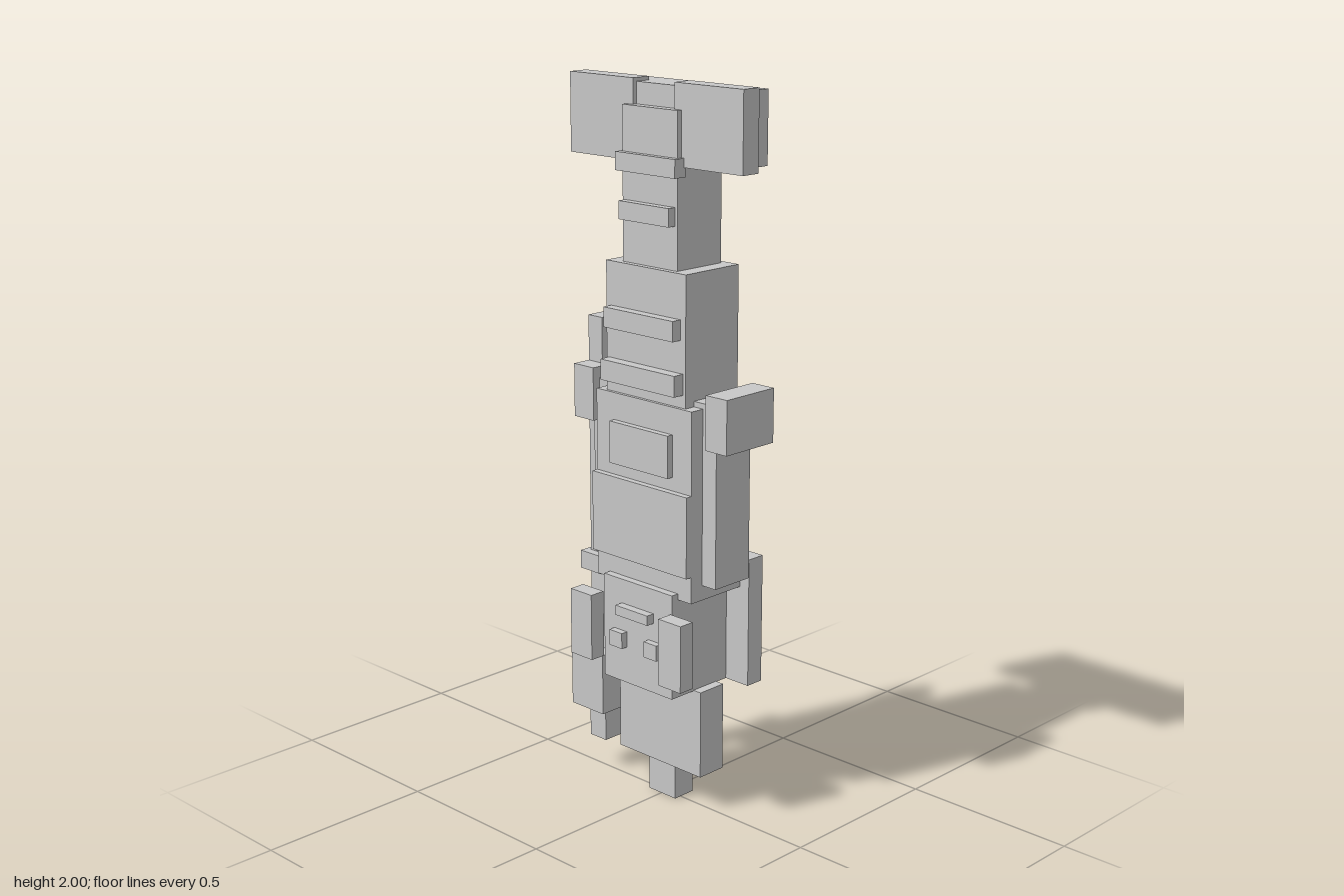
import * as THREE from 'three';

export function createModel() {
  const model = new THREE.Group();
  const grey = new THREE.MeshStandardMaterial({ color: 0xc8c8c8 });
  grey.name = 'light grey';

  // Box given by its extents along each axis
  function block(name, [x0, x1], [y0, y1], [z0, z1]) {
    const mesh = new THREE.Mesh(new THREE.BoxGeometry(x1 - x0, y1 - y0, z1 - z0), grey);
    mesh.name = name;
    mesh.position.set((x0 + x1) / 2, (y0 + y1) / 2, (z0 + z1) / 2);
    model.add(mesh);
  }

  // Matching blocks on both sides, mirrored about the body's centre line
  const centre = 0.003;
  function pair(name, [inner, outer], y, z) {
    block(name + 'Left', [centre + inner, centre + outer], y, z);
    block(name + 'Right', [centre - outer, centre - inner], y, z);
  }

  // Lower tip and skirt
  block('tip', [-0.047, 0.054], [0, 0.105], [-0.048, 0.022]);
  block('skirt', [-0.154, 0.16], [0.103, 0.355], [-0.058, 0.032]);

  // Lower body with face details and front pads
  block('lowerBody', [-0.127, 0.133], [0.353, 0.652], [-0.11, 0.117]);
  block('browBar', [-0.058, 0.064], [0.555, 0.583], [0.11, 0.142]);
  pair('eye', [0.042, 0.09], [0.458, 0.503], [0.11, 0.137]);
  pair('frontPad', [0.129, 0.211], [0.41, 0.6], [0.121, 0.168]);

  // Back panels
  pair('backSidePanel', [0.117, 0.212], [0.353, 0.72], [-0.153, -0.098]);
  block('backCentrePanel', [-0.114, 0.12], [0.353, 0.7], [-0.148, -0.1]);
  block('backPlate', [-0.111, 0.118], [0.433, 0.7], [-0.17, -0.14]);

  // Torso
  block('torso', [-0.174, 0.182], [0.635, 1.165], [-0.124, 0.094]);
  block('torsoSides', [-0.228, 0.231], [0.677, 1.18], [-0.079, 0.052]);
  block('bellyPlate', [-0.174, 0.182], [0.71, 0.936], [0.08, 0.113]);
  block('chestPanel', [-0.106, 0.112], [0.973, 1.09], [0.08, 0.113]);
  pair('shoulder', [0.21, 0.285], [1.063, 1.212], [-0.106, 0.075]);

  // Neck blocks
  block('lowerNeck', [-0.143, 0.15], [1.16, 1.52], [-0.116, 0.084]);
  block('upperNeck', [-0.096, 0.103], [1.515, 1.932], [-0.098, 0.067]);

  // Ribs across the neck: half width, bottom, top, back, front
  [
    [0.137, 1.2, 1.257, 0.08, 0.117],
    [0.128, 1.345, 1.4, 0.08, 0.113],
    [0.091, 1.636, 1.685, 0.06, 0.091],
    [0.108, 1.762, 1.811, 0.045, 0.085],
  ].forEach(([w, y0, y1, z0, z1], i) =>
    block('rib' + (i + 1), [centre - w, centre + w], [y0, y1], [z0, z1]));

  // Crossbar at the top
  block('crossbar', [-0.281, 0.287], [1.797, 1.99], [-0.07, 0.039]);
  pair('crossbarPlate', [0.074, 0.311], [1.787, 2], [-0.006, 0.052]);

  // Side rod with its collar, guard and foot
  block('rod', [-0.281, -0.228], [0.37, 1.34], [-0.05, 0.02]);
  block('rodCollar', [-0.297, -0.214], [0.608, 0.66], [-0.076, 0.045]);
  block('rodGuard', [-0.316, -0.19], [0.196, 0.375], [-0.098, 0.066]);
  block('rodFoot', [-0.285, -0.222], [0.093, 0.2], [-0.055, 0.025]);

  return model;
}
